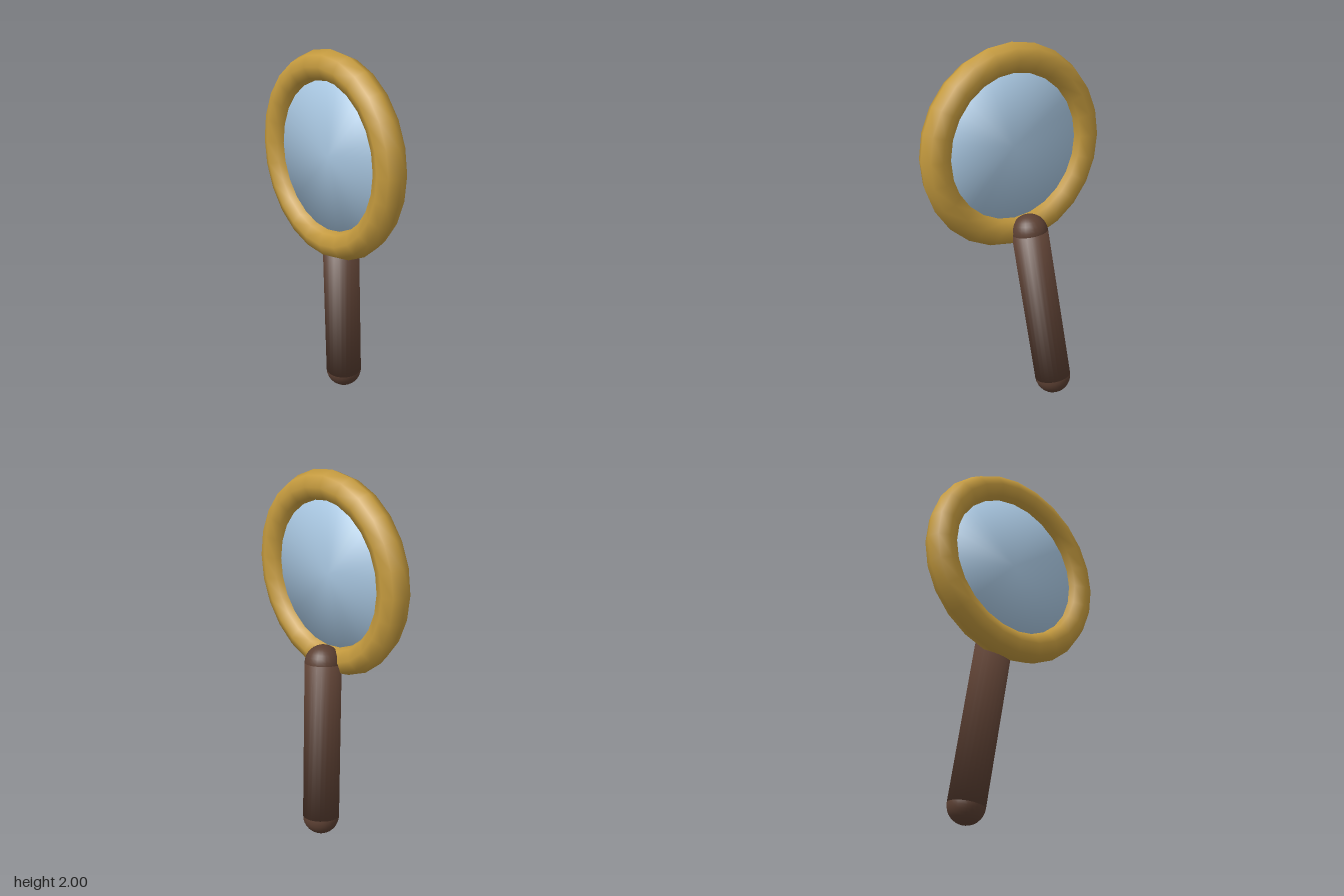
import * as THREE from 'three';

const brass = new THREE.MeshStandardMaterial({ color: 0xc49a3e });
brass.name = 'brass';
const glass = new THREE.MeshStandardMaterial({ color: 0xa8c6e0 });
glass.name = 'paleBlueGlass';
const wood = new THREE.MeshStandardMaterial({ color: 0x5c4033 });
wood.name = 'darkWood';

function part(name, geometry, material, parent) {
  const mesh = new THREE.Mesh(geometry, material);
  mesh.name = name;
  parent.add(mesh);
  return mesh;
}

// Closed cylinder whose shading flows smoothly over the rims
function softCylinder(radius, height, sides) {
  const geometry = new THREE.CylinderGeometry(radius, radius, height, sides);
  const { position, normal } = geometry.attributes;
  const n = new THREE.Vector3();
  for (let i = 0; i < position.count; i++) {
    n.set(position.getX(i) / radius, Math.sign(position.getY(i)), position.getZ(i) / radius).normalize();
    normal.setXYZ(i, n.x, n.y, n.z);
  }
  return geometry;
}

export function createModel() {
  const model = new THREE.Group();
  model.name = 'magnifyingGlass';

  // Round frame with an eight-sided section, and the lens inside it
  const head = new THREE.Group();
  head.name = 'head';
  head.position.set(0, 1.44, 0.105);
  model.add(head);
  part('frame', new THREE.TorusGeometry(0.475, 0.085, 8, 24), brass, head);
  part('lens', softCylinder(0.43, 0.05, 32), glass, head).rotation.x = Math.PI / 2;

  // Tilted handle with rounded ends, running down, sideways and back
  const radius = 0.101;
  const top = new THREE.Vector3(-0.05, 0.967, 0.005);
  const bottom = new THREE.Vector3(-0.146, 0.101, -0.09);
  const axis = top.clone().sub(bottom);
  const handle = new THREE.Group();
  handle.name = 'handle';
  handle.position.copy(top).add(bottom).multiplyScalar(0.5);
  handle.quaternion.setFromUnitVectors(new THREE.Vector3(0, 1, 0), axis.clone().normalize());
  model.add(handle);
  const length = axis.length();
  part('grip', softCylinder(radius, length, 24), wood, handle);
  for (const side of [1, -1]) {
    const dome = new THREE.SphereGeometry(radius, 24, 8, 0, Math.PI * 2, 0, Math.PI / 2);
    const end = part(side > 0 ? 'upperEnd' : 'lowerEnd', dome, wood, handle);
    end.position.y = side * length / 2;
    if (side < 0) end.rotation.x = Math.PI;
  }

  return model;
}
